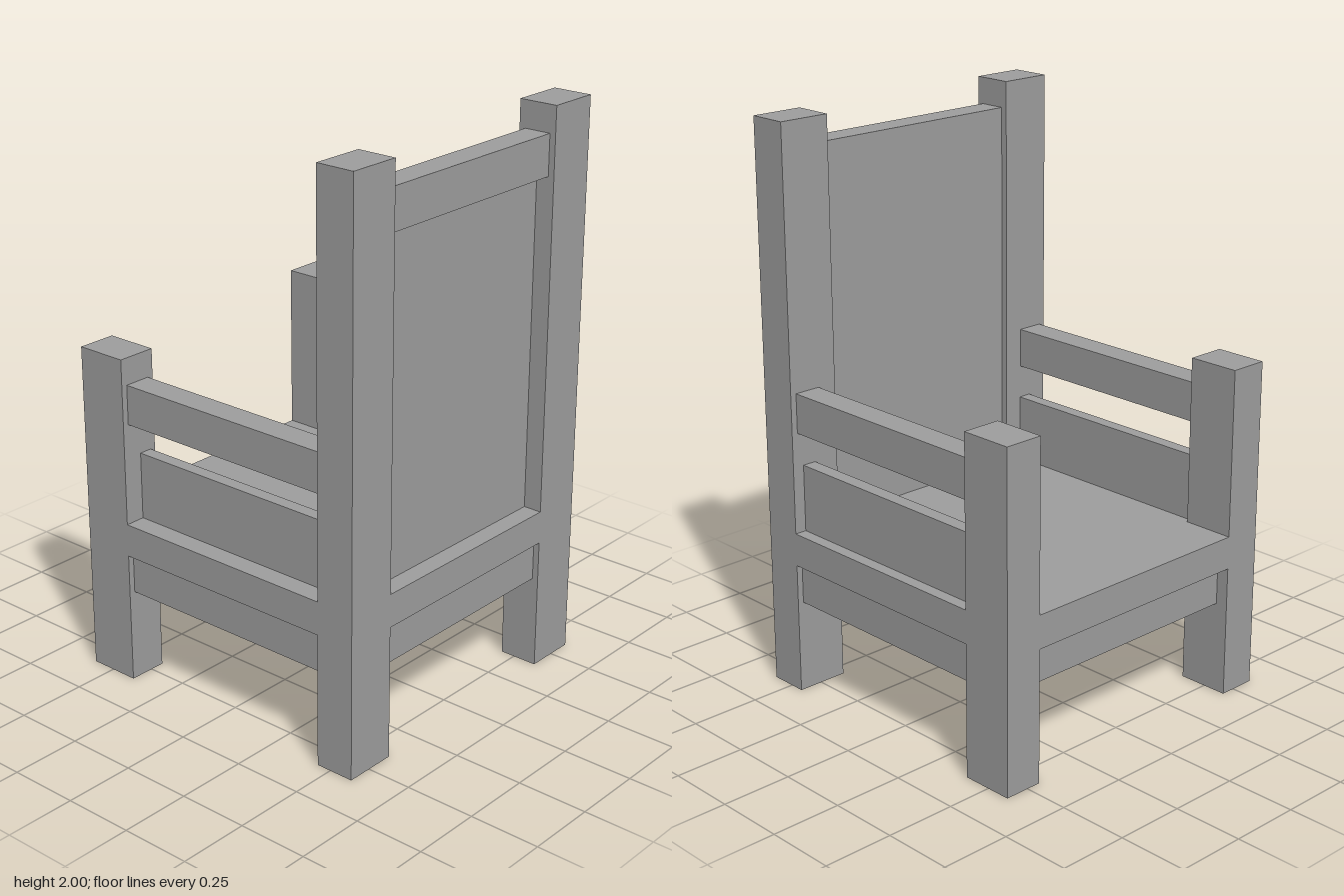
import * as THREE from 'three';

const material = new THREE.MeshStandardMaterial({ color: 0x9d9d9d, flatShading: true });

// Box given by its extents along each axis
function block(name, [x0, x1], [y0, y1], [z0, z1]) {
  const geometry = new THREE.BoxGeometry(x1 - x0, y1 - y0, z1 - z0);
  const mesh = new THREE.Mesh(geometry, material);
  mesh.position.set((x0 + x1) / 2, (y0 + y1) / 2, (z0 + z1) / 2);
  mesh.name = name;
  return mesh;
}

export function createModel() {
  const chair = new THREE.Group();
  chair.name = 'armchair';

  const E = 0.588;                    // outer half width
  const frontX = -0.4, backX = 0.447; // inner faces of the posts along x
  const frontZ = 0.448, backZ = 0.4;  // inner faces of the posts along z
  const railIn = 0.47, railOut = 0.566;
  const seatLow = 0.471, seatTop = 0.588;
  const apronY = [0.328, seatLow];

  // Seat slab, notched around the four posts and flush with them
  const outline = [
    [frontX, -E], [backX, -E], [backX, -backZ], [E, -backZ], [E, backZ], [backX, backZ],
    [backX, E], [frontX, E], [frontX, frontZ], [-E, frontZ], [-E, -frontZ], [frontX, -frontZ],
  ].map(([x, y]) => new THREE.Vector2(x, y));
  const seatGeometry = new THREE.ExtrudeGeometry(new THREE.Shape(outline), {
    depth: seatTop - seatLow, bevelEnabled: false,
  });
  seatGeometry.rotateX(-Math.PI / 2);
  const seat = new THREE.Mesh(seatGeometry, material);
  seat.position.y = seatLow;
  seat.name = 'seat';
  chair.add(seat);

  // Posts, arms and side aprons, mirrored across z; the right panel sits further out
  for (const [side, s, panelIn, panelOut] of [['left', 1, 0.468, 0.515], ['right', -1, 0.495, 0.545]]) {
    const span = (a, b) => (s > 0 ? [a, b] : [-b, -a]);
    const along = [frontX, backX];
    chair.add(
      block(`${side}FrontPost`, [-E, frontX], [0, 1.18], span(frontZ, E)),
      block(`${side}BackPost`, [backX, E], [0, 2], span(backZ, E)),
      block(`${side}ArmRail`, along, [0.945, 1.085], span(railIn, railOut)),
      block(`${side}SidePanel`, along, [seatTop, 0.826], span(panelIn, panelOut)),
      block(`${side}Apron`, along, apronY, span(railIn, railOut)),
    );
  }

  // Backrest, with the panel flush to the inner face of the top rail
  const backSpan = [-backZ, backZ];
  chair.add(
    block('backTopRail', [railIn, railOut], [1.764, 1.906], backSpan),
    block('backPanel', [railIn, 0.521], [seatTop, 1.764], backSpan),
    block('backApron', [railIn, railOut], apronY, backSpan),
    block('frontApron', [-0.543, -0.447], apronY, [-frontZ, frontZ]),
  );
  return chair;
}
